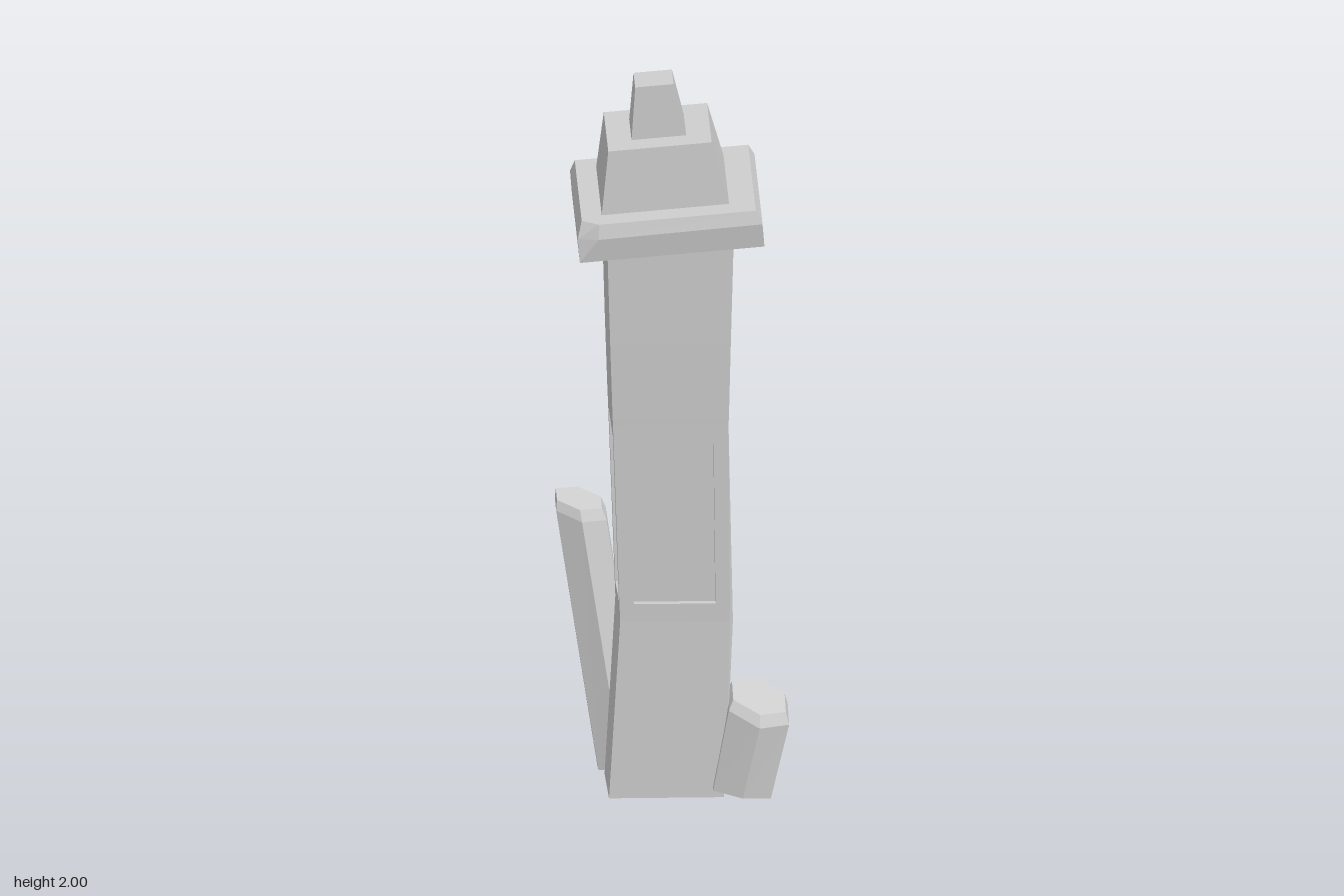
import * as THREE from 'three';

const material = new THREE.MeshStandardMaterial({ color: 0xcccccc, flatShading: true });
const vec = (x, y, z) => new THREE.Vector3(x, y, z);

// Collects triangles and quads (corners counter-clockwise from outside).
class Faces {
  constructor() { this.points = []; }
  tri(a, b, c) { this.points.push(a, b, c); }
  quad(a, b, c, d) { this.tri(a, b, c); this.tri(a, c, d); }
  cap(ring, up) {
    for (let i = 1; i < ring.length - 1; i++) {
      if (up) this.tri(ring[0], ring[i], ring[i + 1]);
      else this.tri(ring[0], ring[i + 1], ring[i]);
    }
  }
  band(low, high, face = (...q) => this.quad(...q)) {
    low.forEach((p, i) => {
      const j = (i + 1) % low.length;
      face(p, low[j], high[j], high[i], i);
    });
  }
  loft(rings) {
    this.cap(rings[0], false);
    for (let i = 0; i < rings.length - 1; i++) this.band(rings[i], rings[i + 1]);
    this.cap(rings[rings.length - 1], true);
    return this;
  }
  mesh(name) {
    const geometry = new THREE.BufferGeometry().setFromPoints(this.points);
    geometry.computeVertexNormals();
    const mesh = new THREE.Mesh(geometry, material);
    mesh.name = name;
    return mesh;
  }
}

// Rectangle with a chamfer c = [frontLeft, frontRight, backRight, backLeft] at each corner
function columnRing(y, x0, x1, z0, z1, c = [0, 0, 0, 0]) {
  return [
    vec(x0 + c[0], y, z1), vec(x1 - c[1], y, z1),
    vec(x1, y, z1 - c[1]), vec(x1, y, z0 + c[2]),
    vec(x1 - c[2], y, z0), vec(x0 + c[3], y, z0),
    vec(x0, y, z0 + c[3]), vec(x0, y, z1 - c[0]),
  ];
}

// Leaning four-sided column with a sunken panel in each side
function createColumn() {
  const faces = new Faces();
  const rings = [
    columnRing(0.01, -0.18, 0.13, -0.085, 0.2, [0, 0, 0.035, 0.01]),
    columnRing(0.34, -0.16, 0.148, -0.093, 0.2, [0, 0.005, 0.022, 0.01]),
    columnRing(0.5, -0.15, 0.155, -0.095, 0.2, [0, 0.008, 0, 0]),
    columnRing(1.05, -0.17, 0.142, -0.102, 0.217),
    columnRing(1.07, -0.171, 0.143, -0.103, 0.218, [0, 0, 0.03, 0]),
    columnRing(1.28, -0.178, 0.148, -0.107, 0.224),
    columnRing(1.62, -0.188, 0.157, -0.11, 0.23),
  ];
  const panelWall = (a, b, c, d, i) => {
    if (i % 2) return faces.quad(a, b, c, d);
    const at = (u, v) => a.clone().lerp(b, u).lerp(d.clone().lerp(c, u), v);
    const rim = [at(0.13, 0.09), at(0.87, 0.09), at(0.87, 0.93), at(0.11, 0.96)];
    const normal = b.clone().sub(a).cross(d.clone().sub(a)).normalize();
    const floor = rim.map(p => p.clone().addScaledVector(normal, -0.025));
    faces.band([a, b, c, d], rim);
    faces.band(rim, floor);
    faces.quad(...floor);
  };
  faces.cap(rings[0], false);
  for (let i = 0; i < rings.length - 1; i++) {
    faces.band(rings[i], rings[i + 1], i === 2 ? panelWall : undefined);
  }
  faces.cap(rings[rings.length - 1], true);
  return faces.mesh('column');
}

// Square ring whose front left corner is split in two; cut = size of the chip
function slabRing(h, y, cut = [0, 0], drop = 0) {
  return [
    vec(-h + cut[0], y - drop, h), vec(h, y, h), vec(h, y, -h),
    vec(-h, y, -h), vec(-h, y - drop, h - cut[1]),
  ];
}

// Tilted stepped roof: bevelled slab with a chipped corner and two tapered blocks
function createRoof() {
  const roof = new THREE.Group();
  roof.name = 'roof';
  const slab = new Faces().loft([
    slabRing(0.25, 0),
    slabRing(0.25, 0.065, [0.055, 0.02], 0.003),
    slabRing(0.235, 0.1, [0.045, 0.04]),
  ]).mesh('roofSlab');
  roof.add(slab);

  const block = (name, y, height, bottom, top) => {
    const geometry = new THREE.CylinderGeometry(top / Math.SQRT2, bottom / Math.SQRT2, height, 4);
    geometry.rotateY(Math.PI / 4);
    const mesh = new THREE.Mesh(geometry, material);
    mesh.name = name;
    mesh.position.set(-0.007, y + height / 2, -0.003);
    roof.add(mesh);
  };
  block('roofMiddleBlock', 0.1, 0.17, 0.345, 0.28);
  block('roofTopBlock', 0.27, 0.143, 0.148, 0.104);

  roof.position.set(-0.014, 1.582, 0.057);
  roof.rotation.set(0.145, 0, 0.085);
  return roof;
}

// Six-sided stone; each ring is [centre, radius, slope along x, slope along z]
function createStone(name, sections) {
  const rings = sections.map(([[cx, cy, cz], r, sx, sz]) =>
    Array.from({ length: 6 }, (_, i) => {
      const a = i * Math.PI / 3;
      const dx = r * Math.sin(a), dz = r * Math.cos(a);
      return vec(cx + dx, cy + dx * sx + dz * sz, cz + dz);
    }));
  return new Faces().loft(rings).mesh(name);
}

export function createModel() {
  const model = new THREE.Group();
  model.name = 'stonePillar';
  model.add(createColumn(), createRoof());
  model.add(createStone('tallStone', [
    [[-0.132, 0.013, -0.155], 0.072, 0.1, 0.08],
    [[-0.237, 0.708, -0.239], 0.079, -0.2, -0.25],
    [[-0.242, 0.735, -0.243], 0.07, -0.2, -0.22],
  ]));
  model.add(createStone('shortStone', [
    [[0.178, 0.023, 0.18], 0.09, -0.15, 0],
    [[0.224, 0.255, 0.179], 0.094, -0.25, -0.4],
    [[0.226, 0.282, 0.173], 0.082, -0.25, -0.38],
  ]));
  return model;
}
